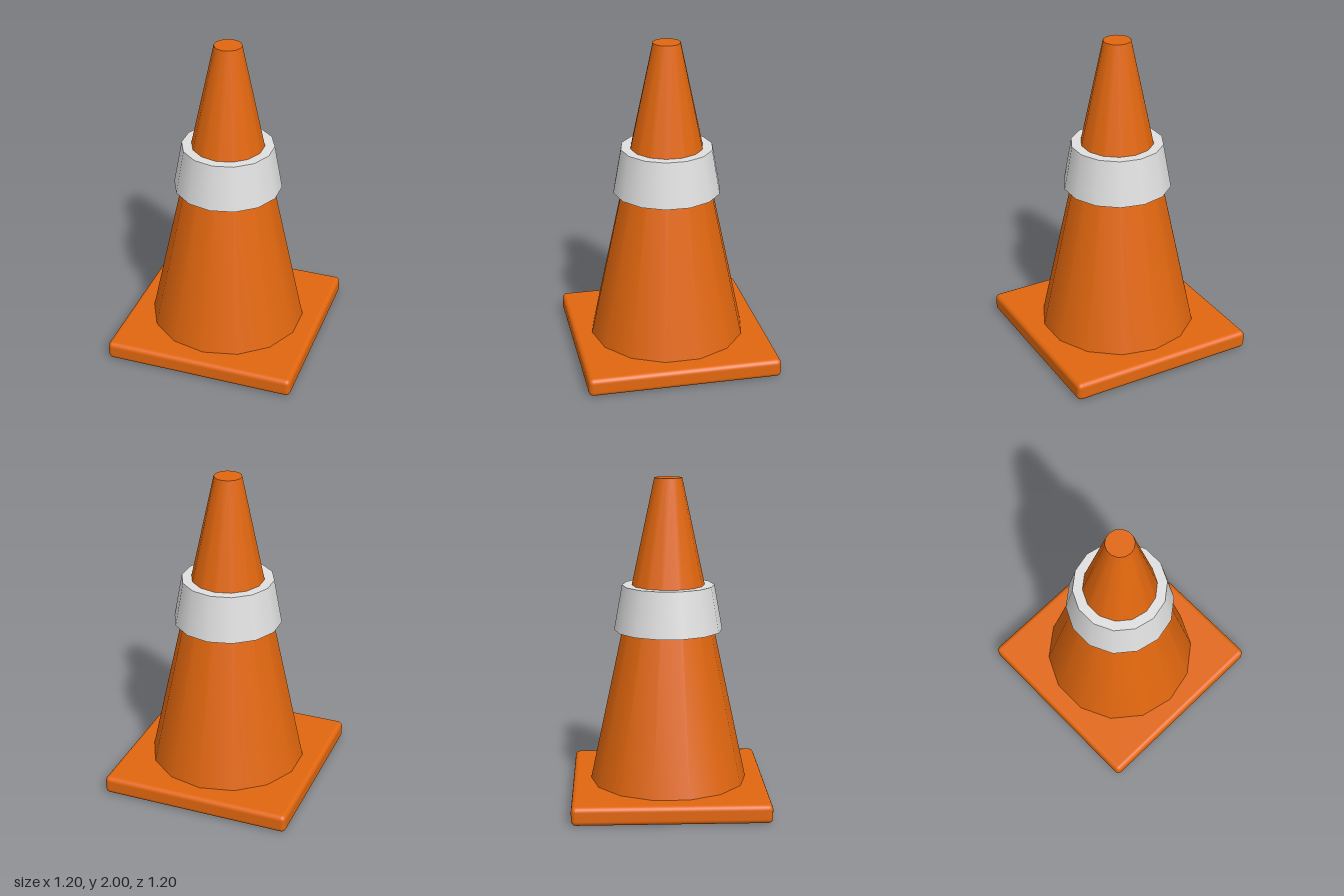
import * as THREE from 'three';
import { RoundedBoxGeometry } from 'three/addons/geometries/RoundedBoxGeometry.js';

const SIDES = 14;

export function createModel() {
  const orange = new THREE.MeshStandardMaterial({ name: 'orange plastic', color: 0xe2670f });
  const white = new THREE.MeshStandardMaterial({ name: 'pale grey band', color: 0xe0e0e0 });
  const group = new THREE.Group();
  group.name = 'trafficCone';

  const add = (name, geometry, material, y) => {
    const mesh = new THREE.Mesh(geometry, material);
    mesh.name = name;
    mesh.position.y = y;
    group.add(mesh);
  };
  // Smooth-sided tapered cylinder standing between two heights
  const taper = (name, material, rTop, rBottom, y0, y1) =>
    add(name, new THREE.CylinderGeometry(rTop, rBottom, y1 - y0, SIDES), material, (y0 + y1) / 2);

  // Square foot with softened edges
  add('base', new RoundedBoxGeometry(1.2, 0.115, 1.2, 3, 0.03), orange, 0.0575);

  // Tapered body with a flat top
  taper('coneBody', orange, 0.085, 0.487, 0.115, 2);

  // Raised reflective collar
  taper('reflectiveBand', white, 0.285, 0.335, 1.065, 1.345);

  return group;
}
